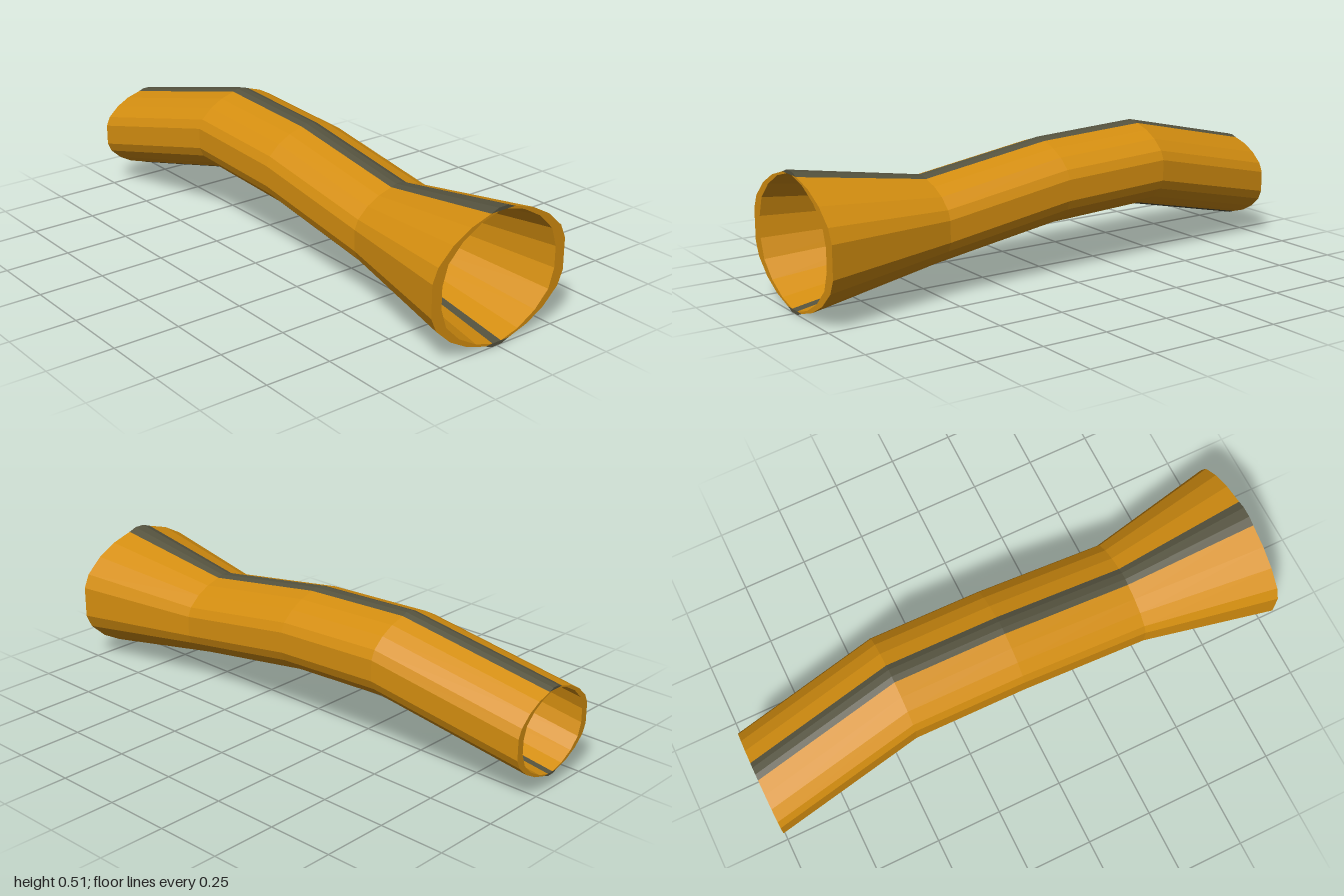
import * as THREE from 'three';

const orange = new THREE.MeshStandardMaterial({ color: 0xd48e10 });
orange.name = 'amber';
const grey = new THREE.MeshStandardMaterial({ color: 0x55533f });
grey.name = 'dark olive grey';
orange.flatShading = grey.flatShading = true;

// One quadrant of each wall, from the flat side up to the crown
const OUTER = [[0.195, 0.039], [0.18, 0.073], [0.139, 0.111], [0.09, 0.138], [0.035, 0.155], [0.0135, 0.163]];
const INNER = [[0.167, 0.026], [0.152, 0.073], [0.113, 0.112], [0.062, 0.141], [0.0125, 0.155], [0.0125, 0.155]];

// Sections along the tube, front to back: z, centre x, centre y, scale
const SECTIONS = [
  [1, 0, 0.248, 1.515],
  [0.5, 0, 0.253, 1],
  [0, 0, 0.33, 1],
  [-0.43, 0, 0.35, 1],
  [-1, -0.075, 0.218, 1],
];

// Mirror a quadrant into a closed counter-clockwise ring of 24 points
function fullRing(quadrant) {
  const half = [...quadrant, ...quadrant.map(([x, y]) => [-x, y]).reverse()];
  return [...half, ...half.map(([x, y]) => [-x, -y])];
}

function placeRings(quadrant) {
  const ring = fullRing(quadrant);
  return SECTIONS.map(([z, cx, cy, s]) =>
    ring.map(([x, y]) => new THREE.Vector3(cx + x * s, cy + y * s, z)));
}

// Band of quads between two rings, limited to the chosen segments
function addBand(positions, a, b, keep) {
  const n = a.length;
  for (let i = 0; i < n; i++) {
    if (!keep(i)) continue;
    const j = (i + 1) % n;
    for (const tri of [[a[i], b[i], b[j]], [a[i], b[j], a[j]]]) {
      const [p, q, r] = tri;
      if (p.distanceTo(q) < 1e-6 || q.distanceTo(r) < 1e-6 || r.distanceTo(p) < 1e-6) continue;
      for (const v of tri) positions.push(v.x, v.y, v.z);
    }
  }
}

function bandMesh(name, pairs, keep, material) {
  const positions = [];
  for (const [a, b] of pairs) addBand(positions, a, b, keep);
  const geometry = new THREE.BufferGeometry();
  geometry.setAttribute('position', new THREE.Float32BufferAttribute(positions, 3));
  geometry.computeVertexNormals();
  const mesh = new THREE.Mesh(geometry, material);
  mesh.name = name;
  return mesh;
}

export function createModel() {
  const group = new THREE.Group();
  group.name = 'bentTube';
  const outer = placeRings(OUTER);
  const inner = placeRings(INNER);
  const last = SECTIONS.length - 1;

  const parts = {
    outerWall: outer.slice(1).map((ring, k) => [outer[k], ring]),
    innerWall: inner.slice(1).map((ring, k) => [ring, inner[k]]),
    frontRim: [[inner[0], outer[0]]],
    backRim: [[outer[last], inner[last]]],
  };

  // Stripes run along the crown and the underside
  const isStripe = (i) => Math.abs((i % 12) - 5) <= 1;
  for (const [name, pairs] of Object.entries(parts)) {
    group.add(bandMesh(name, pairs, (i) => !isStripe(i), orange));
    group.add(bandMesh(name + 'Stripes', pairs, isStripe, grey));
  }
  return group;
}
